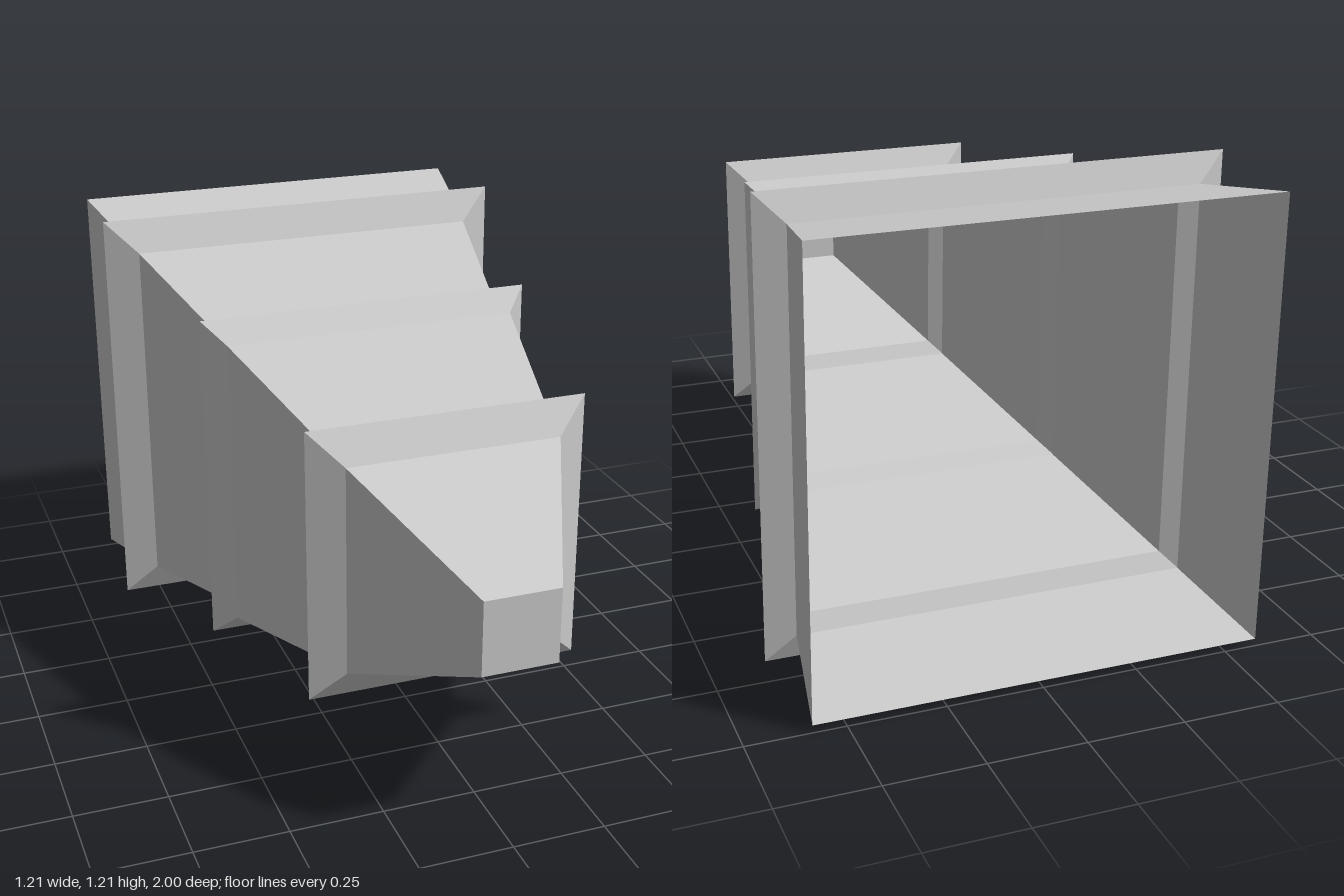
import * as THREE from 'three';

const CENTRE_Y = 0.605;

// [z, half width] of the square section, from the open back to the narrow front
const PROFILE = [
  [-1, 0.585],
  [-0.685, 0.53], [-0.655, 0.605], [-0.61, 0.513], // rear ridge
  [-0.13, 0.412], [-0.075, 0.472], [-0.02, 0.412], // middle ridge
  [0.49, 0.302], [0.53, 0.375], [0.58, 0.287],     // front ridge
  [1, 0.1],
];

export function createModel() {
  const group = new THREE.Group();
  group.name = 'ridgedTaperedDuct';

  const material = new THREE.MeshStandardMaterial({
    color: 0xcccccc, flatShading: true, side: THREE.DoubleSide,
  });

  // Hollow four-sided shell: a lathe with four segments, its axis laid along z
  const points = PROFILE.map(([z, half]) => new THREE.Vector2(half * Math.SQRT2, z));
  const shellGeometry = new THREE.LatheGeometry(points, 4, Math.PI / 4)
    .rotateX(Math.PI / 2)
    .toNonIndexed();
  shellGeometry.computeVertexNormals();
  const shell = new THREE.Mesh(shellGeometry, material);
  shell.name = 'ridgedShell';
  shell.position.y = CENTRE_Y;

  // Flat square closing the narrow front end
  const [frontZ, frontHalf] = PROFILE[PROFILE.length - 1];
  const cap = new THREE.Mesh(new THREE.PlaneGeometry(frontHalf * 2, frontHalf * 2), material);
  cap.name = 'frontCap';
  cap.position.set(0, CENTRE_Y, frontZ);

  group.add(shell, cap);
  return group;
}
